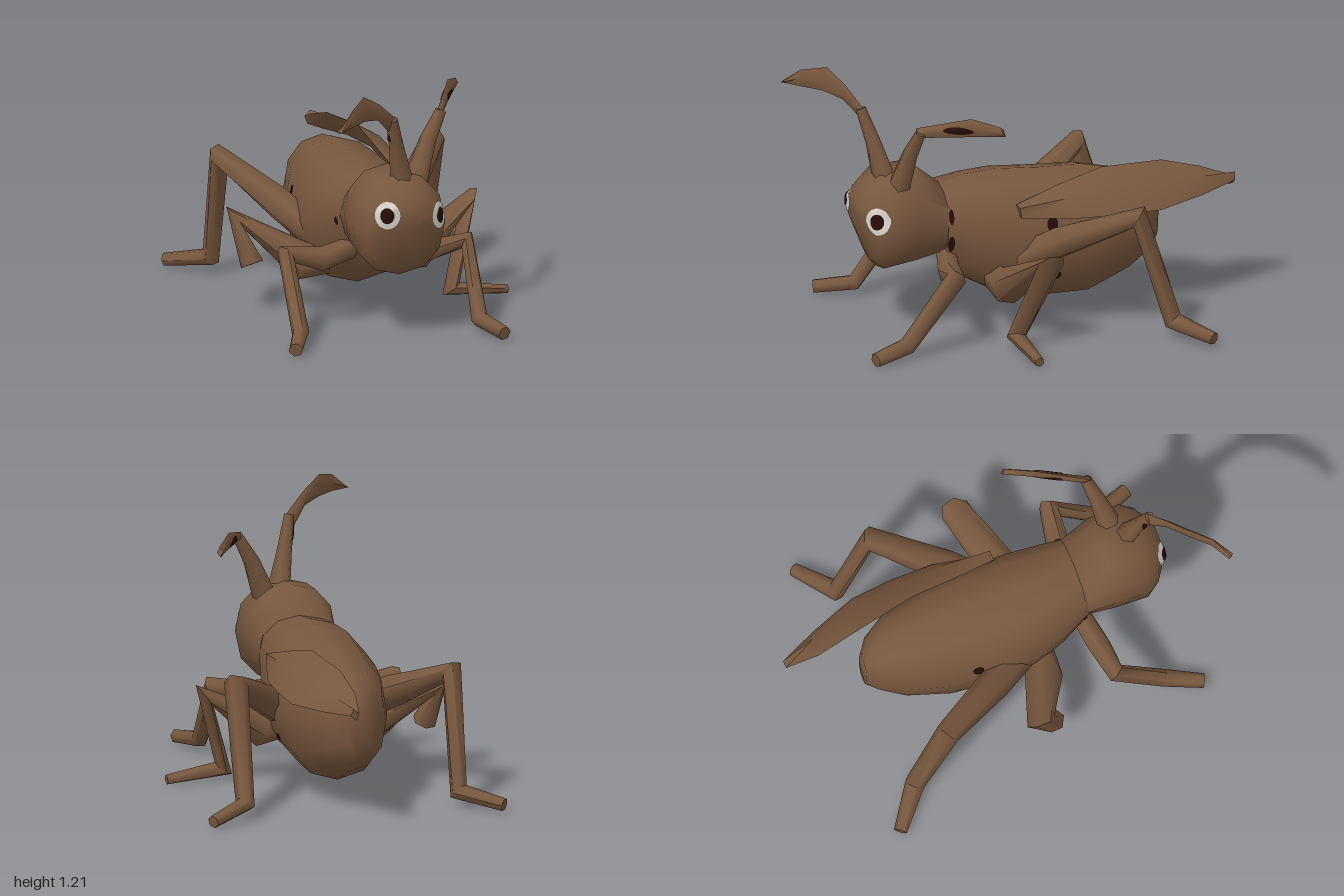
import * as THREE from 'three';
import { toCreasedNormals } from 'three/addons/utils/BufferGeometryUtils.js';

const V = (x, y, z) => new THREE.Vector3(x, y, z);
const brown = new THREE.MeshStandardMaterial({ color: 0x78573e, side: THREE.DoubleSide });
brown.name = 'chitin brown';
const dark = new THREE.MeshStandardMaterial({ color: 0x260c0a, side: THREE.DoubleSide });
dark.name = 'dark spot';
const white = new THREE.MeshStandardMaterial({ color: 0xd6d0c8, side: THREE.DoubleSide });
white.name = 'eye white';

export function createModel() {
  const model = new THREE.Group();
  model.name = 'cricket';

  function add(name, geometry, material = brown) {
    const mesh = new THREE.Mesh(geometry, material);
    mesh.name = name;
    model.add(mesh);
    return mesh;
  }

  // Skin a list of equal-length rings, capped at both ends
  function loft(rings, crease = 1.15) {
    const n = rings[0].length, index = [];
    for (let r = 0; r < rings.length - 1; r++) {
      for (let i = 0; i < n; i++) {
        const a = r * n + i, b = r * n + (i + 1) % n;
        index.push(a, b, a + n, b, b + n, a + n);
      }
    }
    const e = (rings.length - 1) * n;
    for (let i = 1; i < n - 1; i++) index.push(0, i + 1, i, e, e + i, e + i + 1);
    const g = new THREE.BufferGeometry().setFromPoints(rings.flat());
    g.setIndex(index);
    return toCreasedNormals(g, crease);
  }

  // Slightly squared rings along z: [z, centre x, centre y, radius x, radius y, lean]
  const soft = c => Math.sign(c) * Math.abs(c) ** 0.9;
  const sections = (list, sides) => list.map(([z, cx, cy, rx, ry, lean = 0]) =>
    Array.from({ length: sides }, (_, i) => {
      const a = i / sides * Math.PI * 2, dy = ry * soft(Math.sin(a));
      return V(cx + rx * soft(Math.cos(a)), cy + dy, z + lean * dy);
    }));

  // Jointed tube with mitred elbows: points [x, y, z, radius]
  function limb(name, pts, sides = 6) {
    const p = pts.map(q => V(q[0], q[1], q[2]));
    let u = null;
    const rings = p.map((c, i) => {
      const d1 = p[Math.min(i + 1, p.length - 1)].clone().sub(c).normalize();
      const d0 = c.clone().sub(p[Math.max(i - 1, 0)]).normalize();
      const t = d0.add(d1).normalize();
      u = u || V(-t.z, 0.3, t.x);
      u = u.clone().addScaledVector(t, -u.dot(t)).normalize();
      const v = t.clone().cross(u);
      return Array.from({ length: sides }, (_, k) => {
        const a = k / sides * Math.PI * 2;
        return c.clone().addScaledVector(u, pts[i][3] * Math.cos(a)).addScaledVector(v, pts[i][3] * Math.sin(a));
      });
    });
    return add(name, loft(rings));
  }

  // Flat leaf between two edges, slightly thick in the middle
  function blade(name, edges, thick) {
    const s = edges.map(([a, b]) => [V(...a), V(...b)]);
    const mids = s.map(([a, b]) => a.clone().add(b).multiplyScalar(0.5));
    const rings = s.map(([a, b], i) => {
      const t = mids[Math.min(i + 1, s.length - 1)].clone().sub(mids[Math.max(i - 1, 0)]);
      const n = t.cross(a.clone().sub(b)).normalize().multiplyScalar(thick);
      return [a, mids[i].clone().add(n), b, mids[i].clone().sub(n)];
    });
    return add(name, loft(rings, 0.9));
  }

  // Thin disc draped over a surface
  function decal(name, target, at, normal, rx, ry, material, lift) {
    const n = V(...normal).normalize(), o = V(...at);
    const g = new THREE.RingGeometry(0.001, 1, 20, 4);
    g.scale(rx, ry, 1);
    g.applyQuaternion(new THREE.Quaternion().setFromUnitVectors(V(0, 0, 1), n));
    g.translate(o.x, o.y, o.z);
    const pos = g.attributes.position, p = V(0, 0, 0);
    const ray = new THREE.Raycaster();
    for (let i = 0; i < pos.count; i++) {
      p.fromBufferAttribute(pos, i);
      ray.set(p.clone().addScaledVector(n, 0.2), n.clone().negate());
      ray.far = 0.4;
      const hit = ray.intersectObject(target)[0];
      if (hit) p.copy(hit.point);
      p.addScaledVector(n, lift);
      pos.setXYZ(i, p.x, p.y, p.z);
    }
    g.computeVertexNormals();
    return add(name, g, material);
  }

  // Body and head
  const body = add('body', loft(sections([
    [-0.66, -0.02, 0.42, 0.05, 0.13],
    [-0.61, -0.005, 0.415, 0.11, 0.18],
    [-0.5, 0, 0.405, 0.18, 0.235],
    [-0.3, 0, 0.385, 0.23, 0.3],
    [-0.1, 0, 0.39, 0.255, 0.3],
    [0.1, 0, 0.41, 0.25, 0.295],
    [0.25, 0.01, 0.45, 0.22, 0.25],
    [0.38, 0.02, 0.51, 0.185, 0.17],
  ], 12)));
  const head = add('head', loft(sections([
    [0.37, 0.02, 0.52, 0.18, 0.155],
    [0.51, 0.025, 0.56, 0.205, 0.23],
    [0.67, 0.035, 0.545, 0.215, 0.235],
    [0.725, 0.035, 0.53, 0.175, 0.185, 0.1],
    [0.785, 0.03, 0.605, 0.09, 0.065],
  ], 12)));

  // Eyes
  const eyes = [
    ['right', [-0.052, 0.622, 0.78], [-0.35, 0.1, 0.93], 0.058],
    ['left', [0.203, 0.59, 0.71], [0.65, 0, 0.76], 0.06],
  ];
  for (const [side, at, n, r] of eyes) {
    decal(side + 'EyeWhite', head, at, n, r, 0.062, white, 0.005);
    decal(side + 'Pupil', head, at, n, r * 0.56, 0.036, dark, 0.009);
  }

  // Antennae: tapering stalk and flat leaf-shaped end
  const stalk = limb('rightAntennaStalk',
    [[0.055, 0.73, 0.64, 0.055], [0.02, 0.9, 0.68, 0.036], [-0.015, 1.06, 0.73, 0.024]]);
  blade('rightAntennaBlade', [
    [[0.005, 1.06, 0.72], [-0.03, 1.0, 0.72]],
    [[-0.09, 1.15, 0.78], [-0.1, 1.08, 0.79]],
    [[-0.18, 1.21, 0.84], [-0.18, 1.1, 0.86]],
    [[-0.26, 1.18, 0.94], [-0.26, 1.1, 0.94]],
    [[-0.34, 1.105, 1.0], [-0.34, 1.095, 1.0]],
  ], 0.015);
  decal('antennaSpot', stalk, [-0.01, 0.99, 0.71], [-0.9, 0, -0.4], 0.012, 0.045, dark, 0.004);
  limb('leftAntennaStalk', [[0.135, 0.73, 0.59, 0.055], [0.2, 0.9, 0.56, 0.038], [0.27, 1.025, 0.53, 0.025]]);
  const leaf = blade('leftAntennaBlade', [
    [[0.25, 1.04, 0.55], [0.27, 1.0, 0.54]],
    [[0.36, 1.1, 0.32], [0.36, 1.015, 0.34]],
    [[0.43, 1.07, 0.2], [0.43, 1.025, 0.18]],
  ], 0.015);
  for (const s of [1, -1]) {
    decal('antennaSpot', leaf, [0.355, 1.045, 0.38], [s * 0.93, 0, s * 0.37], 0.07, 0.018, dark, 0.004);
  }

  // Front and hind legs, mirrored
  for (const [side, s] of [['left', 1], ['right', -1]]) {
    limb(side + 'FrontLeg', [
      [s * 0.1, 0.36, 0.36, 0.05], [s * 0.25, 0.325, 0.39, 0.056], [s * 0.425, 0.365, 0.41, 0.046],
      [s * 0.42, 0.06, 0.64, 0.04], [s * 0.49, 0.034, 0.81, 0.033],
    ]);
    limb(side + 'HindLeg', [
      [s * 0.18, 0.33, 0.04, 0.07], [s * 0.3, 0.44, -0.13, 0.075], [s * 0.5, 0.595, -0.43, 0.056],
      [s * 0.495, 0.075, -0.59, 0.046], [s * 0.675, 0.037, -0.73, 0.03],
    ]);
  }

  // Middle legs: the right one ends at a short stump
  const thigh = s => [[s * 0.15, 0.25, 0.14, 0.07], [s * 0.27, 0.24, 0.12, 0.088], [s * 0.545, 0.43, 0.0, 0.066]];
  limb('leftMiddleLeg', [...thigh(1), [0.43, 0.055, 0.13, 0.048], [0.7, 0.024, 0.1, 0.022]]);
  limb('rightMiddleLeg', [...thigh(-1), [-0.49, 0.23, 0.08, 0.055]]);

  // Spread wing on the left side
  const wing = blade('leftWing', [
    [[0.2, 0.6, 0.06], [0.25, 0.55, 0.05]],
    [[0.16, 0.66, -0.15], [0.3, 0.54, -0.2]],
    [[0.13, 0.71, -0.36], [0.3, 0.535, -0.4]],
    [[0.07, 0.69, -0.66], [0.28, 0.53, -0.6]],
    [[0.045, 0.63, -0.85], [0.19, 0.545, -0.82]],
    [[0.06, 0.575, -1.0], [0.1, 0.565, -1.0]],
  ], 0.032);
  decal('wingUndersideSpot', wing, [0.25, 0.55, -0.45], [-0.2, -0.97, 0], 0.025, 0.09, dark, 0.005);

  // Dark body spots: surface point, facing, radii
  const spots = [
    [[0.2, 0.57, 0.365], [1, 0, 0], 0.012, 0.035], [[0.2, 0.44, 0.365], [1, 0, 0], 0.014, 0.04],
    [[0.25, 0.5, -0.1], [1, 0, 0], 0.026, 0.035], [[0.22, 0.25, -0.12], [1, 0, 0], 0.024, 0.02],
    [[-0.18, 0.49, 0.36], [-1, 0, 0], 0.012, 0.02], [[-0.25, 0.48, -0.18], [-1, 0, 0], 0.025, 0.03],
  ];
  for (const [at, n, rx, ry] of spots) decal('bodySpot', body, at, n, rx, ry, dark, 0.005);

  return model;
}
